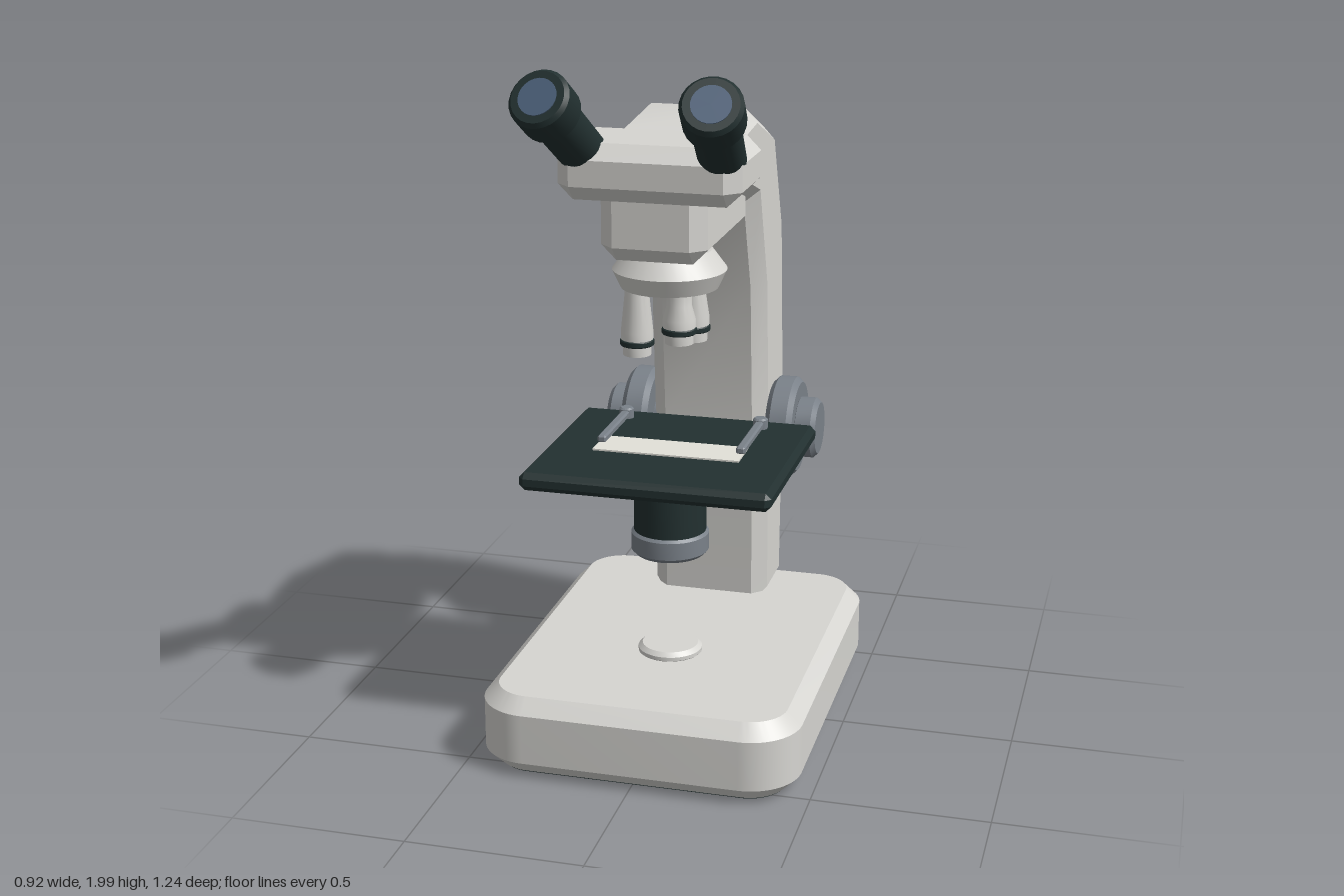
import * as THREE from 'three';
import { toCreasedNormals } from 'three/addons/utils/BufferGeometryUtils.js';
import { ConvexGeometry } from 'three/addons/geometries/ConvexGeometry.js';

const material = (name, color) => {
  const m = new THREE.MeshStandardMaterial({ color });
  m.name = name;
  return m;
};

// Box with all edges chamfered, given by its min and max corners
function chamferBox(min, max, b) {
  const c = min.map((v, i) => (v + max[i]) / 2);
  const h = min.map((v, i) => (max[i] - v) / 2);
  const points = [];
  for (const sx of [-1, 1]) for (const sy of [-1, 1]) for (const sz of [-1, 1])
    for (let k = 0; k < 3; k++) {
      const p = [sx, sy, sz].map((s, i) => c[i] + s * (h[i] - (i === k ? 0 : b)));
      points.push(new THREE.Vector3(...p));
    }
  return new ConvexGeometry(points);
}

// Turned solid from [radius, height] pairs, bottom to top, closed on the axis
function turned(profile, segments = 32) {
  const pts = [[0, profile[0][1]], ...profile, [0, profile[profile.length - 1][1]]];
  const g = new THREE.LatheGeometry(pts.map(([r, y]) => new THREE.Vector2(r, y)), segments);
  return toCreasedNormals(g, 0.5);
}

// Chamfered disc profile
const disc = (r, y0, y1, b) => [[r - b, y0], [r, y0 + b], [r, y1 - b], [r - b, y1]];

function roundedRect(w, d, r) {
  const s = new THREE.Shape();
  s.absarc(w - r, d - r, r, 0, Math.PI / 2);
  s.absarc(-w + r, d - r, r, Math.PI / 2, Math.PI);
  s.absarc(-w + r, -d + r, r, Math.PI, Math.PI * 1.5);
  s.absarc(w - r, -d + r, r, Math.PI * 1.5, Math.PI * 2);
  return s;
}

// Extrusion of total depth, centred, with an inset one-step bevel
function bevelled(shape, depth, b) {
  const g = new THREE.ExtrudeGeometry(shape, {
    depth: depth - 2 * b, bevelEnabled: b > 0, bevelThickness: b, bevelSize: b,
    bevelOffset: -b, bevelSegments: 1, curveSegments: 10,
  });
  g.translate(0, 0, b - depth / 2);
  return toCreasedNormals(g, 0.5);
}

export function createModel() {
  const ivory = material('ivory enamel', 0xd6d5d1);
  const dark = material('dark enamel', 0x223030);
  const grey = material('grey metal', 0x7a8189);
  const glass = material('blue glass', 0x4c6079);
  const slideWhite = material('slide white', 0xe2e1d9);

  const model = new THREE.Group();
  model.name = 'microscope';
  const add = (name, geometry, mat, parent = model) => {
    const mesh = new THREE.Mesh(geometry, mat);
    mesh.name = name;
    parent.add(mesh);
    return mesh;
  };
  const axisZ = 0.127; // optical axis

  // Base with dark underside
  const base = add('base', bevelled(roundedRect(0.462, 0.59, 0.15), 0.231, 0.042), ivory);
  base.rotation.x = -Math.PI / 2;
  base.position.set(0, 0.1195, -0.005);
  const pad = add('basePad', bevelled(roundedRect(0.416, 0.544, 0.105), 0.008, 0), dark);
  pad.rotation.x = -Math.PI / 2;
  pad.position.set(0, 0.004, -0.005);
  add('lampLens', turned(disc(0.094, 0.225, 0.26, 0.012)), ivory).position.z = axisZ;

  // Curved arm, side profile as (z, y)
  const armProfile = [
    [-0.6, 0.205], [-0.62, 0.82], [-0.567, 1.395], [-0.44, 1.7], [-0.18, 1.8], [0.12, 1.772],
    [0.12, 1.625], [-0.19, 1.52], [-0.29, 1.24], [-0.328, 0.8], [-0.342, 0.205],
  ].map(([z, y]) => new THREE.Vector2(z, y));
  const armGeometry = bevelled(new THREE.Shape(armProfile), 0.358, 0.042);
  armGeometry.rotateY(-Math.PI / 2);
  add('arm', armGeometry, ivory);

  // Head and nose housing
  add('head', chamferBox([-0.255, 1.62, 0.072], [0.255, 1.777, 0.38], 0.042), ivory);
  add('noseHousing', chamferBox([-0.15, 1.447, -0.2], [0.15, 1.68, 0.33], 0.042), ivory);

  // Eyepieces
  for (const side of [1, -1]) {
    const eyepiece = new THREE.Group();
    eyepiece.name = side > 0 ? 'leftEyepiece' : 'rightEyepiece';
    const end = new THREE.Vector3(side * 0.228, 1.933, 0.575);
    const start = new THREE.Vector3(side * 0.183, 1.695, 0.235);
    const axis = end.clone().sub(start);
    const L = axis.length();
    eyepiece.position.copy(start);
    eyepiece.quaternion.setFromUnitVectors(new THREE.Vector3(0, 1, 0), axis.normalize());
    add('eyepieceTube', turned([
      [0.064, 0], [0.066, L - 0.115], [0.084, L - 0.095], [0.084, L - 0.012], [0.074, L],
    ], 24), dark, eyepiece);
    add('eyepieceLens', turned([[0.053, L - 0.003], [0.053, L + 0.003]], 24), glass, eyepiece);
    model.add(eyepiece);
  }

  // Revolving nosepiece with three objectives
  add('nosepiece', turned([[0.138, 1.342], [0.162, 1.393], [0.12, 1.45]]), ivory).position.z = axisZ;
  [[180, 1.135], [60, 1.167], [-60, 1.2]].forEach(([deg, y], i) => {
    const a = THREE.MathUtils.degToRad(deg);
    const objective = new THREE.Group();
    objective.name = `objective${i + 1}`;
    objective.position.set(0.096 * Math.cos(a), 0, axisZ - 0.09 * Math.sin(a));
    add('objectiveBarrel', turned([
      [0.04, y], [0.04, y + 0.03], [0.046, y + 0.03], [0.046, y + 0.07],
      [0.035, 1.31], [0.035, 1.35],
    ], 20), ivory, objective);
    add('objectiveBand', turned(disc(0.049, y + 0.028, y + 0.046, 0.003), 20), dark, objective);
    model.add(objective);
  });

  // Stage, bracket, condenser and slide
  add('stage', chamferBox([-0.36, 0.802, -0.212], [0.36, 0.855, 0.428], 0.016), dark);
  add('stageBracket', chamferBox([-0.15, 0.7, -0.36], [0.15, 0.806, -0.19], 0.018), grey);
  add('condenser', turned([[0.105, 0.61], [0.105, 0.81]]), dark).position.z = axisZ;
  add('condenserRing', turned(disc(0.113, 0.547, 0.622, 0.012)), grey).position.z = axisZ;
  const slide = add('slide', new THREE.BoxGeometry(0.43, 0.008, 0.125), slideWhite);
  slide.position.set(0, 0.856, 0.122);

  // Stage clips and focus knobs, mirrored
  for (const side of [1, -1]) {
    const prefix = side > 0 ? 'left' : 'right';
    const clip = add(prefix + 'Clip', chamferBox([-0.013, 0.858, -0.14], [0.013, 0.88, 0.125], 0.005), grey);
    clip.position.x = side * 0.206;
    const post = add(prefix + 'ClipPost', turned(disc(0.022, 0.85, 0.887, 0.005), 16), grey);
    post.position.set(side * 0.206, 0, -0.137);

    const knob = new THREE.Group();
    knob.name = prefix + 'FocusKnob';
    knob.position.set(0, 0.775, -0.42);
    knob.rotation.z = -side * Math.PI / 2;
    add('knobShaft', turned([[0.06, 0.15], [0.06, 0.2]]), grey, knob);
    add('coarseKnob', turned(disc(0.153, 0.185, 0.268, 0.016), 40), grey, knob);
    add('fineKnob', turned(disc(0.093, 0.255, 0.33, 0.014)), grey, knob);
    model.add(knob);
  }
  return model;
}
